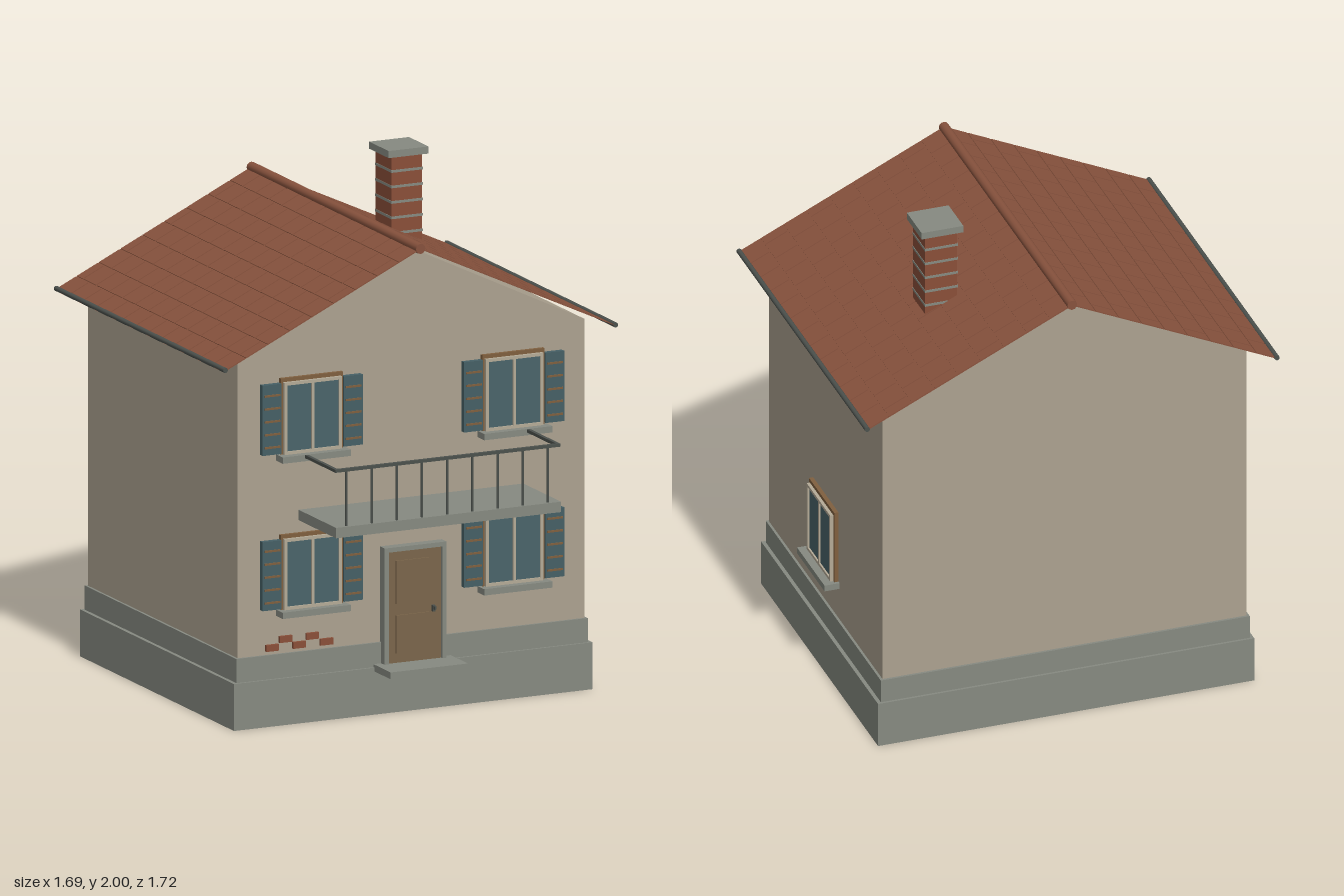
import * as THREE from 'three';
import { mergeGeometries } from 'three/addons/utils/BufferGeometryUtils.js';

const mat = (name, color, side = THREE.FrontSide) =>
  new THREE.MeshStandardMaterial({ name, color, side });

export function createModel() {
  const plaster = mat('plaster', 0xaca290);
  const stone = mat('stone', 0x868a81);
  const tile = mat('roof tile', 0x87523d, THREE.DoubleSide);
  const brick = mat('brick', 0x8a4f39);
  const wood = mat('door wood', 0x7b664b);
  const trim = mat('window trim wood', 0x80603f);
  const sash = mat('cream sash', 0xb5ab97);
  const glass = mat('glass', 0x4a646a);
  const shutterPaint = mat('shutter paint', 0x466066);
  const iron = mat('iron', 0x4c514d);

  const house = new THREE.Group();
  house.name = 'house';

  const add = (parent, name, geo, material) => {
    const m = new THREE.Mesh(geo, material);
    m.name = name;
    parent.add(m);
    return m;
  };
  // Box given by its minimum and maximum corners
  const box = (parent, name, material, x0, x1, y0, y1, z0, z1) => {
    const m = add(parent, name, new THREE.BoxGeometry(x1 - x0, y1 - y0, z1 - z0), material);
    m.position.set((x0 + x1) / 2, (y0 + y1) / 2, (z0 + z1) / 2);
    return m;
  };

  // Foundation and plinth
  box(house, 'foundation', stone, -0.765, 0.765, 0, 0.185, -0.79, 0.55);
  box(house, 'plinth', stone, -0.75, 0.75, 0.185, 0.28, -0.78, 0.54);

  // Gabled walls
  const gable = new THREE.Shape([
    [-0.74, 0.1], [0.74, 0.1], [0.74, 1.46], [0, 1.82], [-0.74, 1.46],
  ].map(([x, y]) => new THREE.Vector2(x, y)));
  add(house, 'walls', new THREE.ExtrudeGeometry(gable, { depth: 1.3, bevelEnabled: false }), plaster)
    .position.z = -0.77;

  // Roof: two thin slopes with staggered tiles and gutters
  const roofZ = -0.1225, roofDepth = 1.475;
  const slopeLength = Math.hypot(0.84, 0.395), pitch = Math.atan2(0.395, 0.84);
  const rows = 9, columns = 13;
  const rowStep = slopeLength / rows, colStep = roofDepth / columns;
  const tiles = [];
  for (let r = 0; r < rows; r++) {
    const shift = r % 2 ? colStep / 2 : 0;
    for (let c = 0; c <= columns; c++) {
      const a = Math.max(c * colStep - shift, 0) + 0.003;
      const b = Math.min((c + 1) * colStep - shift, roofDepth) - 0.003;
      if (b - a < 0.01) continue;
      tiles.push(new THREE.BoxGeometry(rowStep - 0.006, 0.003, b - a)
        .translate((r + 0.5) * rowStep, 0.0015, (a + b) / 2 - roofDepth / 2));
    }
  }
  const tileGeo = mergeGeometries(tiles);
  const slopeGeo = new THREE.PlaneGeometry(slopeLength, roofDepth)
    .rotateX(-Math.PI / 2).translate(slopeLength / 2, 0, 0);
  const rod = (parent, name, material, radius, length) => {
    const geo = new THREE.CylinderGeometry(radius, radius, length, 12).rotateX(Math.PI / 2);
    return add(parent, name, geo, material);
  };
  for (const turn of [0, Math.PI]) {
    const half = new THREE.Group();
    half.name = turn ? 'rightRoof' : 'leftRoof';
    half.position.set(0, 1.832, roofZ);
    half.rotation.y = turn;
    const slope = new THREE.Group();
    slope.name = 'slope';
    slope.rotation.z = -pitch;
    add(slope, 'roofSheet', slopeGeo, tile);
    add(slope, 'roofTiles', tileGeo, tile);
    half.add(slope);
    rod(half, 'gutter', iron, 0.01, roofDepth).position.set(0.833, -0.388, 0);
    house.add(half);
  }
  rod(house, 'ridge', tile, 0.02, roofDepth).position.set(0, 1.834, roofZ);

  // Chimney with mortar courses and cap
  box(house, 'chimneyStack', brick, 0.305, 0.435, 1.55, 1.975, -0.4, -0.26);
  for (let i = 0; i < 5; i++) {
    const y = 1.67 + i * 0.061;
    box(house, 'mortarCourse', stone, 0.303, 0.437, y - 0.005, y + 0.005, -0.402, -0.258);
  }
  box(house, 'chimneyCap', stone, 0.285, 0.455, 1.972, 2, -0.415, -0.245);

  // Window facing +z, with its back on z = 0
  const makeWindow = (name, w, h, shutters) => {
    const g = new THREE.Group();
    g.name = name;
    const x = w / 2, y = h / 2;
    box(g, 'windowTrim', trim, -x, x, -y, y, -0.01, 0.014);
    box(g, 'pane', glass, -x + 0.022, x - 0.022, -y, y - 0.026, 0.012, 0.02);
    for (const s of [-1, 1]) {
      const c = s * (x - 0.016);
      box(g, 'sashSide', sash, c - 0.006, c + 0.006, -y, y - 0.015, 0.01, 0.027);
    }
    box(g, 'sashTop', sash, -x + 0.01, x - 0.01, y - 0.027, y - 0.015, 0.01, 0.027);
    box(g, 'sashBottom', sash, -x + 0.01, x - 0.01, -y, -y + 0.012, 0.01, 0.027);
    box(g, 'mullion', sash, -0.006, 0.006, -y, y - 0.015, 0.01, 0.027);
    box(g, 'sill', stone, -x - 0.013, x + 0.013, -y - 0.025, -y, -0.01, 0.058);
    if (shutters) for (const s of [-1, 1]) {
      const c = s * (x + 0.041);
      box(g, 'shutter', shutterPaint, c - 0.04, c + 0.04, -y + 0.005, y - 0.018, -0.005, 0.022);
      for (let i = 0; i < 5; i++) {
        const sy = -y + 0.035 + i * 0.051;
        box(g, 'shutterSlat', trim, c - 0.033, c + 0.033, sy - 0.004, sy + 0.004, 0.018, 0.026);
      }
    }
    house.add(g);
    return g;
  };
  for (const x of [-0.43, 0.43]) {
    makeWindow('lowerWindow', 0.265, 0.295, true).position.set(x, 0.602, 0.53);
    makeWindow('upperWindow', 0.265, 0.3, true).position.set(x, 1.217, 0.53);
  }
  const side = makeWindow('sideWindow', 0.29, 0.305, false);
  side.position.set(0.743, 0.592, -0.12);
  side.rotation.y = Math.PI / 2;

  // Door, surround, handle and step
  for (const s of [-1, 1])
    box(house, 'doorJamb', stone, s * 0.123 - 0.009, s * 0.123 + 0.009, 0.19, 0.655, 0.52, 0.57);
  box(house, 'doorLintel', stone, -0.132, 0.132, 0.638, 0.656, 0.52, 0.571);
  box(house, 'door', wood, -0.115, 0.115, 0.19, 0.64, 0.52, 0.56);
  for (const [y0, y1] of [[0.235, 0.385], [0.43, 0.6]])
    box(house, 'doorPanel', wood, -0.08, 0.06, y0, y1, 0.555, 0.566);
  box(house, 'handlePlate', iron, 0.073, 0.085, 0.385, 0.41, 0.555, 0.572);
  box(house, 'handle', iron, 0.075, 0.083, 0.395, 0.408, 0.565, 0.585);
  box(house, 'doorStep', stone, -0.165, 0.165, 0.17, 0.197, 0.52, 0.69);

  // Balcony with railing
  box(house, 'balconySlab', stone, -0.48, 0.48, 0.797, 0.838, 0.52, 0.857);
  box(house, 'frontRail', iron, -0.48, 0.48, 1.054, 1.066, 0.838, 0.852);
  for (const s of [-1, 1])
    box(house, 'sideRail', iron, s * 0.473 - 0.007, s * 0.473 + 0.007, 1.054, 1.066, 0.52, 0.85);
  for (let i = 0; i < 9; i++) {
    const bar = add(house, 'baluster', new THREE.CylinderGeometry(0.005, 0.005, 0.225, 8), iron);
    bar.position.set(-0.43 + i * 0.1075, 0.947, 0.845);
  }

  // Exposed bricks in the plaster
  for (const [x, y] of [[-0.595, 0.307], [-0.48, 0.307], [-0.364, 0.307], [-0.538, 0.336], [-0.424, 0.336]])
    box(house, 'exposedBrick', brick, x - 0.027, x + 0.027, y - 0.013, y + 0.013, 0.52, 0.541);

  return house;
}
